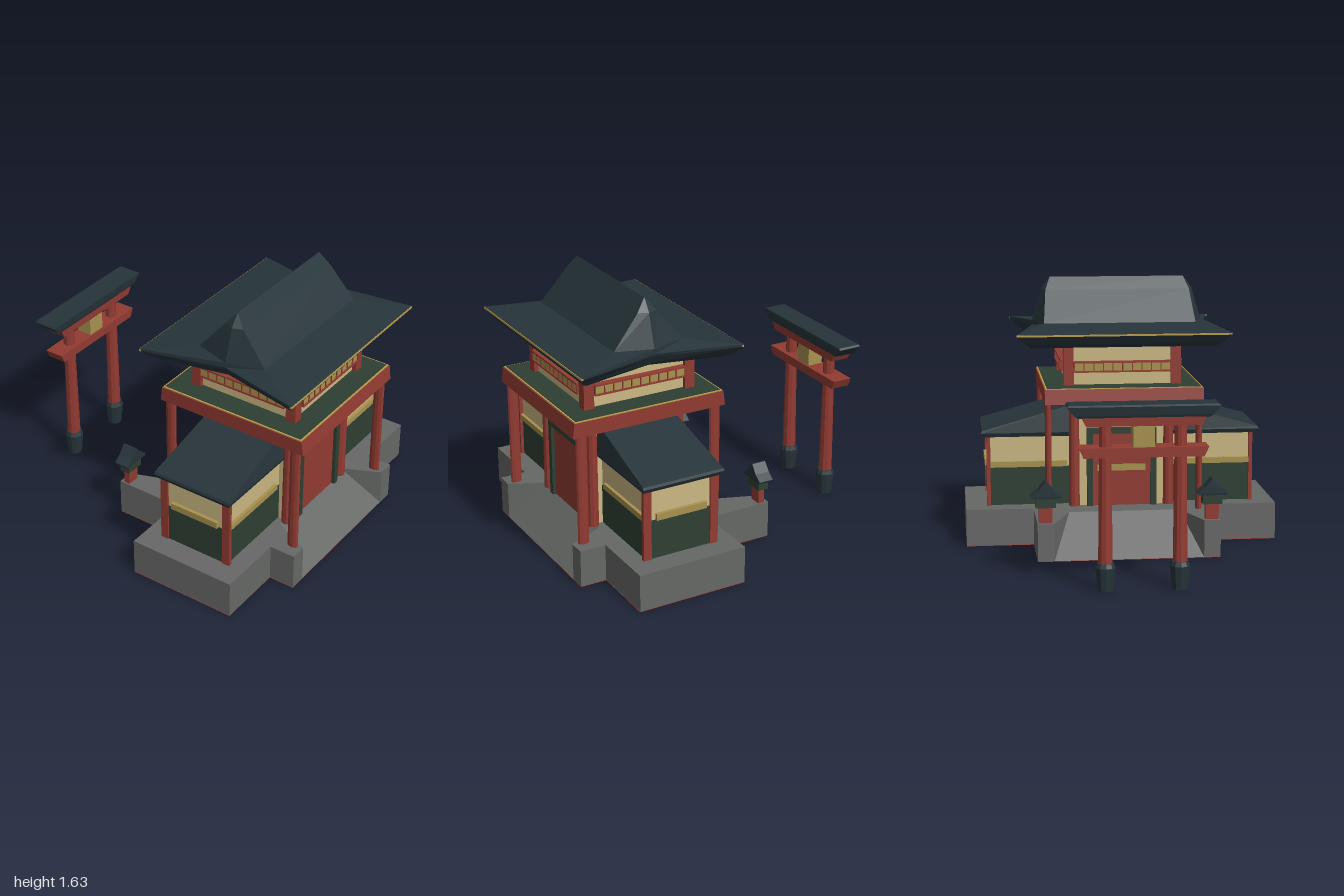
import * as THREE from 'three';

const mat = (color, side = THREE.FrontSide) => new THREE.MeshStandardMaterial({ color, flatShading: true, side });
const RED = mat(0x923b32), CREAM = mat(0xcbb782), GOLD = mat(0xa8924f), GREEN = mat(0x2e3f33);
const ROOF = mat(0x26343a), STONE = mat(0x666866), TRIM = mat(0xb89b4a), STONE2 = mat(0x666866, THREE.DoubleSide);

function add(parent, name, geometry, material, x = 0, y = 0, z = 0) {
  const mesh = new THREE.Mesh(geometry, material);
  mesh.name = name;
  mesh.position.set(x, y, z);
  parent.add(mesh);
  return mesh;
}

// Box given by its extents on each axis
function box(parent, name, material, [x0, x1], [y0, y1], [z0, z1]) {
  return add(parent, name, new THREE.BoxGeometry(x1 - x0, y1 - y0, z1 - z0), material,
    (x0 + x1) / 2, (y0 + y1) / 2, (z0 + z1) / 2);
}

// Round post with separate radii in x and z
function post(parent, name, material, x, z, y0, y1, rx, rz, taper = 1) {
  const g = new THREE.CylinderGeometry(taper, 1, y1 - y0, 10);
  g.scale(rx, 1, rz);
  return add(parent, name, g, material, x, (y0 + y1) / 2, z);
}

// Skin through stacked rings (counter-clockwise from above), capped at both ends
function loft(rings) {
  const n = rings[0].length, index = [];
  for (let r = 0; r < rings.length - 1; r++) {
    for (let i = 0; i < n; i++) {
      const j = (i + 1) % n, a = r * n, b = a + n;
      index.push(a + i, a + j, b + j, a + i, b + j, b + i);
    }
  }
  const top = (rings.length - 1) * n;
  for (let i = 1; i < n - 1; i++) index.push(0, i + 1, i, top, top + i, top + i + 1);
  const g = new THREE.BufferGeometry();
  g.setAttribute('position', new THREE.Float32BufferAttribute(rings.flat(2), 3));
  g.setIndex(index);
  const flat = g.toNonIndexed();
  flat.computeVertexNormals();
  return flat;
}

const rect = (x, z, y) => [[x, y, z], [x, y, -z], [-x, y, -z], [-x, y, z]];
const corners = (fn) => { for (const x of [1, -1]) for (const z of [1, -1]) fn(x, z); };

function createBase() {
  const base = new THREE.Group();
  base.name = 'stoneBase';
  const H = 0.23, F = 0.98, B = -0.28, FI = 0.75, BI = 0.02;
  // Right half of the outline, from back notch to front notch
  const half = [[0.34, BI], [0.45, B], [0.55, B], [0.55, 0.14], [0.965, 0.14],
    [0.965, 0.82], [0.55, 0.82], [0.55, F], [0.45, F], [0.34, FI]];
  const outline = [...half, ...half.slice().reverse().map(([x, z]) => [-x, z])];
  const toShape = (pts) => new THREE.Shape(pts.map(([x, z]) => new THREE.Vector2(x, -z)));
  const platform = new THREE.ExtrudeGeometry(toShape(outline), { depth: H - 0.004, bevelEnabled: false });
  platform.rotateX(-Math.PI / 2);
  add(base, 'platform', platform, STONE, 0, 0.004, 0);
  // Sloping ramps in both notches
  for (const [name, z0, z1] of [['frontRamp', F, FI], ['backRamp', B, BI]]) {
    const g = new THREE.BufferGeometry();
    g.setAttribute('position', new THREE.Float32BufferAttribute(
      [-0.45, 0.003, z0, 0.45, 0.003, z0, 0.34, H, z1, -0.34, H, z1], 3));
    g.setIndex(z0 > z1 ? [0, 1, 2, 0, 2, 3] : [0, 2, 1, 0, 3, 2]);
    g.computeVertexNormals();
    add(base, name, g, STONE2);
  }
  // Red underside
  const solid = half.slice(1, -1);
  const under = new THREE.ShapeGeometry(toShape([...solid, ...solid.slice().reverse().map(([x, z]) => [-x, z])]));
  under.rotateX(-Math.PI / 2);
  add(base, 'underside', under, mat(0x923b32, THREE.DoubleSide));
  return base;
}

function createWing() {
  const wing = new THREE.Group();
  wing.name = 'sideWing';
  box(wing, 'lowerWall', GREEN, [0.2, 0.825], [0.23, 0.47], [-0.22, 0.22]);
  box(wing, 'upperWall', CREAM, [0.2, 0.822], [0.47, 0.67], [-0.217, 0.217]);
  box(wing, 'endTrim', GOLD, [0.82, 0.843], [0.47, 0.51], [-0.16, 0.16]);
  for (const s of [1, -1]) {
    box(wing, 'sideTrim', GOLD, [0.335, 0.81], [0.47, 0.505], [s * 0.226 - 0.01, s * 0.226 + 0.01]);
    box(wing, 'cornerPost', RED, [0.81, 0.833], [0.23, 0.67], [s * 0.215 - 0.025, s * 0.215 + 0.025]);
  }
  // Lean-to roof rising to the tower
  const ring = (xi, xo, yi, yo, zi, zo) => [[xo, yo, zo], [xo, yo, -zo], [xi, yi, -zi], [xi, yi, zi]];
  add(wing, 'wingRoof', loft([
    ring(0.26, 0.855, 0.665, 0.665, 0.25, 0.25),
    ring(0.26, 0.868, 0.69, 0.69, 0.26, 0.26),
    ring(0.26, 0.862, 0.87, 0.705, 0.235, 0.257)]), ROOF);
  return wing;
}

function createDoor() {
  const door = new THREE.Group();
  door.name = 'doorway';
  box(door, 'doorPanel', RED, [-0.18, 0.18], [0.23, 0.685], [0.28, 0.297]);
  for (const s of [1, -1]) box(door, 'doorJamb', GREEN, [s * 0.198 - 0.018, s * 0.198 + 0.018], [0.23, 0.72], [0.28, 0.318]);
  box(door, 'doorLintel', GREEN, [-0.18, 0.18], [0.685, 0.72], [0.28, 0.318]);
  return door;
}

// Railed window band along one wall
function createBand(length, offset, slats) {
  const band = new THREE.Group();
  band.name = 'windowBand';
  const h = length / 2;
  box(band, 'bandPanel', GOLD, [-h, h], [1.085, 1.135], [offset - 0.04, offset - 0.008]);
  for (const y of [1.08, 1.137]) box(band, 'bandRail', RED, [-h, h], [y - 0.004, y + 0.006], [offset - 0.04, offset]);
  for (let i = 0; i <= slats; i++) {
    const x = -h + (length * i) / slats;
    box(band, 'bandSlat', RED, [x - 0.003, x + 0.003], [1.08, 1.14], [offset - 0.03, offset - 0.002]);
  }
  return band;
}

function createTower() {
  const tower = new THREE.Group();
  tower.name = 'tower';
  // Lower storey
  box(tower, 'lowerStorey', CREAM, [-0.29, 0.29], [0.23, 0.89], [-0.285, 0.285]);
  corners((x, z) => {
    post(tower, 'lowerColumn', RED, x * 0.293, z * 0.284, 0.23, 0.88, 0.034, 0.034, 0.92);
    post(tower, 'balconyPost', RED, x * 0.463, z * 0.432, 0.23, 0.91, 0.02, 0.035);
  });
  const back = createDoor();
  back.rotation.y = Math.PI;
  box(back, 'doorBar', GOLD, [-0.15, 0.15], [0.45, 0.49], [0.29, 0.305]);
  tower.add(createDoor(), back);
  // Balcony
  add(tower, 'balconyFrame', loft([rect(0.32, 0.31, 0.865), rect(0.455, 0.45, 0.895),
    rect(0.483, 0.492, 0.9), rect(0.485, 0.48, 0.99)]), RED);
  box(tower, 'balconyEdge', TRIM, [-0.48, 0.48], [0.985, 0.995], [-0.475, 0.475]);
  box(tower, 'balconyDeck', GREEN, [-0.47, 0.47], [0.985, 0.998], [-0.465, 0.465]);
  // Upper storey
  box(tower, 'upperStorey', CREAM, [-0.335, 0.335], [0.99, 1.26], [-0.33, 0.33]);
  corners((x, z) => box(tower, 'upperColumn', RED, [x * 0.33 - 0.031, x * 0.33 + 0.031], [0.99, 1.25],
    [z * 0.326 - 0.032, z * 0.326 + 0.032]));
  for (let i = 0; i < 4; i++) {
    const band = i % 2 ? createBand(0.58, 0.375, 10) : createBand(0.59, 0.372, 10);
    band.rotation.y = (i * Math.PI) / 2;
    tower.add(band);
  }
  // Main roof: flared eaves, waisted ends, steep ridge
  const ring = (x, z, y, mx, my = y) => [[mx, my, 0], [x, y, -z], [-x, y, -z], [-mx, my, 0], [-x, y, z], [x, y, z]];
  add(tower, 'mainRoof', loft([
    ring(0.56, 0.44, 1.24, 0.46), ring(0.6, 0.475, 1.265, 0.5), ring(0.65, 0.508, 1.315, 0.53),
    ring(0.65, 0.508, 1.328, 0.535, 1.33), ring(0.47, 0.22, 1.362, 0.533, 1.36),
    ring(0.45, 0.06, 1.555, 0.475), ring(0.42, 0.001, 1.63, 0.42)]), ROOF);
  for (const s of [1, -1])
    box(tower, 'eaveTrim', TRIM, [-0.652, 0.652], [1.315, 1.326], [s * 0.506 - 0.006, s * 0.506 + 0.006]);
  return tower;
}

function createGate() {
  const gate = new THREE.Group();
  gate.name = 'freestandingGate';
  for (const x of [-0.21, 0.21]) {
    post(gate, 'gatePost', RED, x, 0, 0.1, 0.99, 0.042, 0.042, 0.8);
    add(gate, 'gateFoot', new THREE.LatheGeometry([[0, 0], [0.045, 0], [0.058, 0.135], [0.048, 0.16], [0, 0.16]]
      .map(([r, y]) => new THREE.Vector2(r, y)), 10), ROOF, x);
  }
  add(gate, 'lowerBeam', loft([rect(0.335, 0.062, 0.765), rect(0.36, 0.062, 0.82)]), RED);
  add(gate, 'upperBeam', loft([rect(0.32, 0.06, 0.94), rect(0.345, 0.062, 0.988)]), RED);
  box(gate, 'plaque', GOLD, [-0.06, 0.06], [0.82, 0.94], [-0.05, 0.05]);
  add(gate, 'gateRoof', loft([rect(0.36, 0.06, 0.985), rect(0.385, 0.066, 1.0),
    rect(0.425, 0.074, 1.05), rect(0.415, 0.072, 1.06)]), ROOF);
  return gate;
}

function createLantern() {
  const lantern = new THREE.Group();
  lantern.name = 'lantern';
  box(lantern, 'lanternPost', RED, [-0.04, 0.04], [0.23, 0.33], [-0.02, 0.02]);
  box(lantern, 'lanternBox', GREEN, [-0.06, 0.06], [0.325, 0.4], [-0.033, 0.033]);
  add(lantern, 'lanternRoof', loft([rect(0.085, 0.045, 0.382), rect(0.092, 0.046, 0.395),
    rect(0.045, 0.046, 0.43), rect(0.004, 0.045, 0.482)]), ROOF);
  return lantern;
}

export function createModel() {
  const model = new THREE.Group();
  model.name = 'templeGatehouse';
  model.add(createBase());

  const hall = new THREE.Group();
  hall.name = 'hall';
  hall.position.z = 0.483;
  const leftWing = createWing(), rightWing = createWing();
  rightWing.rotation.y = Math.PI;
  hall.add(createTower(), leftWing, rightWing);
  model.add(hall);

  const gate = createGate();
  gate.position.z = -0.926;
  model.add(gate);

  for (const x of [-0.5, 0.5]) {
    const lantern = createLantern();
    lantern.position.set(x, 0, -0.236);
    model.add(lantern);
  }
  return model;
}
